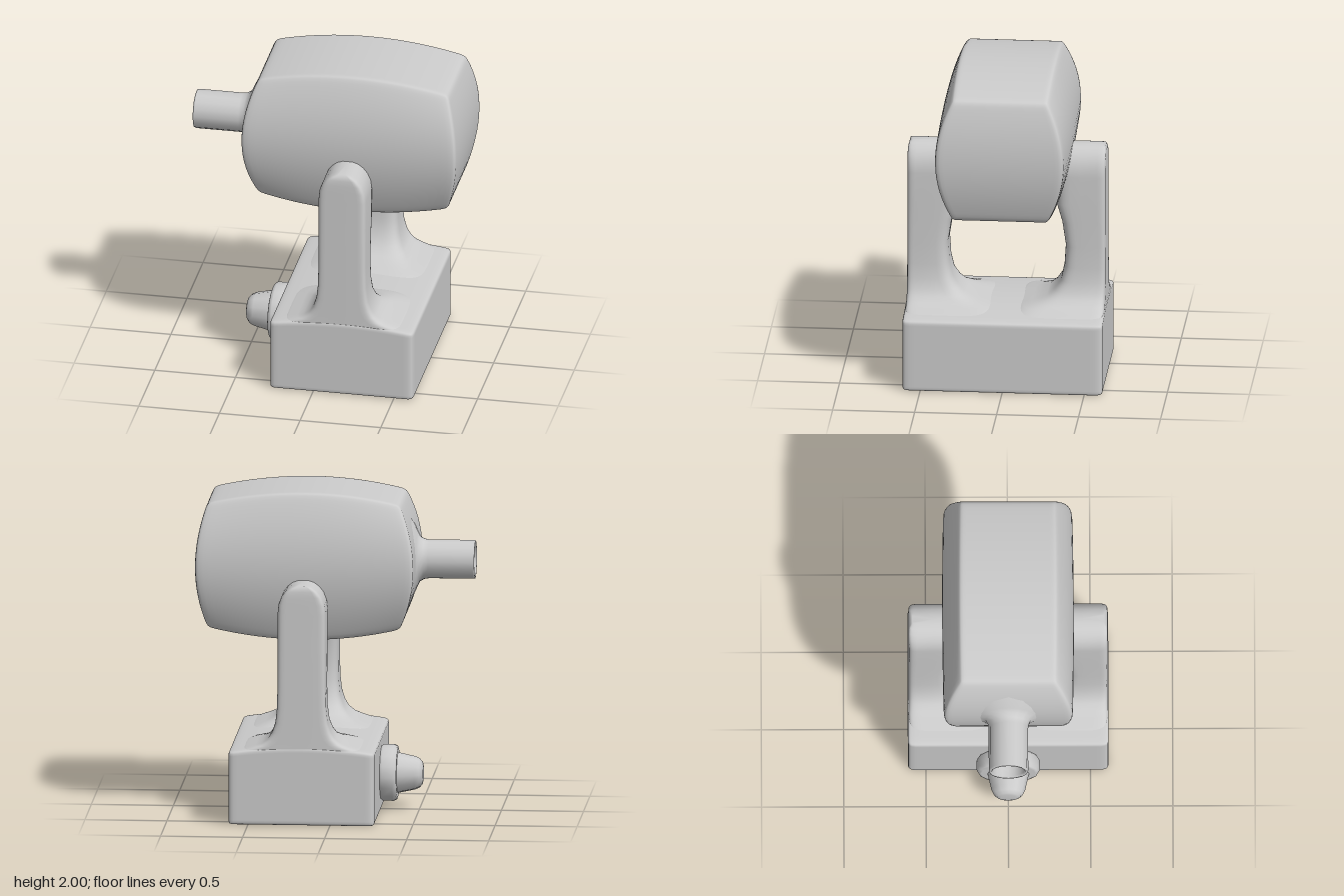
import * as THREE from 'three';
import { mergeVertices } from 'three/addons/utils/BufferGeometryUtils.js';

const material = new THREE.MeshStandardMaterial({ color: 0xcccccc });

function addMesh(parent, name, geometry) {
  const mesh = new THREE.Mesh(geometry, material);
  mesh.name = name;
  parent.add(mesh);
  return mesh;
}

// Rounded cube spanning -1..1, reshaped by a rule (u, v, w) -> [x, y, z]
function shapedBox(radius, rule) {
  const n = 24;
  let geo = new THREE.BoxGeometry(2, 2, 2, n, n, n);
  geo.deleteAttribute('normal');
  geo.deleteAttribute('uv');
  geo = mergeVertices(geo);
  const pos = geo.attributes.position;
  const p = new THREE.Vector3();
  const inner = new THREE.Vector3();
  for (let i = 0; i < pos.count; i++) {
    p.fromBufferAttribute(pos, i);
    // crowd the grid towards the edges
    for (const k of ['x', 'y', 'z']) {
      p[k] = Math.sin(p[k] * Math.PI / 2);
      inner[k] = THREE.MathUtils.clamp(p[k], -1 + radius, 1 - radius);
    }
    p.sub(inner).normalize().multiplyScalar(radius).add(inner);
    pos.setXYZ(i, ...rule(p.x, p.y, p.z));
  }
  geo.computeVertexNormals();
  return geo;
}

// Loft of upright cross-sections: [y, half width, inner z, outer z]
function loftArm(rows, sides = 40) {
  const verts = [], index = [];
  const power = (a, e) => Math.sign(a) * Math.pow(Math.abs(a), e);
  for (const [y, half, zIn, zOut] of rows) {
    for (let j = 0; j < sides; j++) {
      const t = j / sides * Math.PI * 2;
      const e = Math.sin(t) > 0 ? 0.22 : 0.48;
      verts.push(half * power(Math.cos(t), e), y,
        (zIn + zOut) / 2 + (zOut - zIn) / 2 * power(Math.sin(t), e));
    }
  }
  for (let i = 0; i < rows.length - 1; i++) {
    for (let j = 0; j < sides; j++) {
      const k = (j + 1) % sides;
      const a = i * sides + j, b = i * sides + k;
      index.push(a, a + sides, b, b, a + sides, b + sides);
    }
  }
  // closing fan on top
  const last = rows.length - 1;
  const [y, , zIn, zOut] = rows[last];
  verts.push(0, y, (zIn + zOut) / 2);
  for (let j = 0; j < sides; j++) {
    index.push(last * sides + j, rows.length * sides, last * sides + (j + 1) % sides);
  }
  const geo = new THREE.BufferGeometry();
  geo.setAttribute('position', new THREE.Float32BufferAttribute(verts, 3));
  geo.setIndex(index);
  geo.computeVertexNormals();
  return geo;
}

// Turned part whose axis points towards -x; profile is [radius, distance]
function turned(profile, sides) {
  const points = profile.map(([r, d]) => new THREE.Vector2(r, d));
  return new THREE.LatheGeometry(points, sides).rotateZ(Math.PI / 2);
}

export function createModel() {
  const model = new THREE.Group();
  model.name = 'swivelHead';
  const centreX = 0.175;

  // base block with a slightly crowned top
  addMesh(model, 'base', shapedBox(0.07, (u, v, w) => {
    const top = 0.45 + 0.035 * (1 - u * u);
    return [centreX + 0.445 * u, (v + 1) / 2 * top, 0.61 * w];
  }));

  // pair of arms flaring into the base
  const armGeometry = loftArm([
    [0.42, 0.425, 0.02, 0.600], [0.45, 0.39, 0.04, 0.605], [0.468, 0.34, 0.06, 0.606],
    [0.485, 0.285, 0.10, 0.606], [0.50, 0.245, 0.16, 0.606], [0.53, 0.205, 0.245, 0.606],
    [0.57, 0.18, 0.29, 0.606], [0.63, 0.16, 0.33, 0.606], [0.72, 0.15, 0.35, 0.606],
    [0.85, 0.147, 0.358, 0.606], [1.00, 0.147, 0.335, 0.606], [1.12, 0.147, 0.30, 0.606],
    [1.30, 0.147, 0.30, 0.606], [1.36, 0.141, 0.30, 0.606], [1.41, 0.122, 0.30, 0.606],
    [1.445, 0.095, 0.30, 0.604], [1.468, 0.065, 0.30, 0.598], [1.48, 0.03, 0.30, 0.582],
  ]);
  for (const [name, turn] of [['frontArm', 0], ['backArm', Math.PI]]) {
    const arm = addMesh(model, name, armGeometry);
    arm.position.x = centreX;
    arm.rotation.y = turn;
  }

  // head with bulging sides and ends
  addMesh(model, 'head', shapedBox(0.06, (u, v, w) => [
    centreX + u * (0.665 - (u < 0 ? 0.09 : 0.07) * v * v),
    1.545 + v * (0.455 - 0.07 * u * u),
    w * (0.40 - 0.105 * v * v - 0.008 * u * u),
  ]));

  // hollow spout with a flared root
  const spout = addMesh(model, 'spout', turned([
    [0.27, 0.44], [0.215, 0.47], [0.17, 0.49], [0.14, 0.505], [0.125, 0.53], [0.12, 0.56],
    [0.12, 0.832], [0.117, 0.842], [0.106, 0.842], [0.098, 0.832], [0.098, 0.56], [0, 0.56],
  ], 16));
  spout.position.y = 1.55;

  // side knob: round flange and tapered cap
  const knob = new THREE.Group();
  knob.name = 'knob';
  knob.position.y = 0.225;
  model.add(knob);
  const flange = addMesh(knob, 'knobFlange', turned([
    [0.16, 0.25], [0.165, 0.272], [0.175, 0.285], [0.175, 0.345],
    [0.165, 0.365], [0.15, 0.37], [0, 0.37],
  ], 16));
  flange.scale.z = 1.1;
  addMesh(knob, 'knobCap', turned([
    [0.13, 0.35], [0.125, 0.375], [0.103, 0.475], [0.09, 0.503],
    [0.068, 0.52], [0.045, 0.525], [0, 0.525],
  ], 12));

  return model;
}
